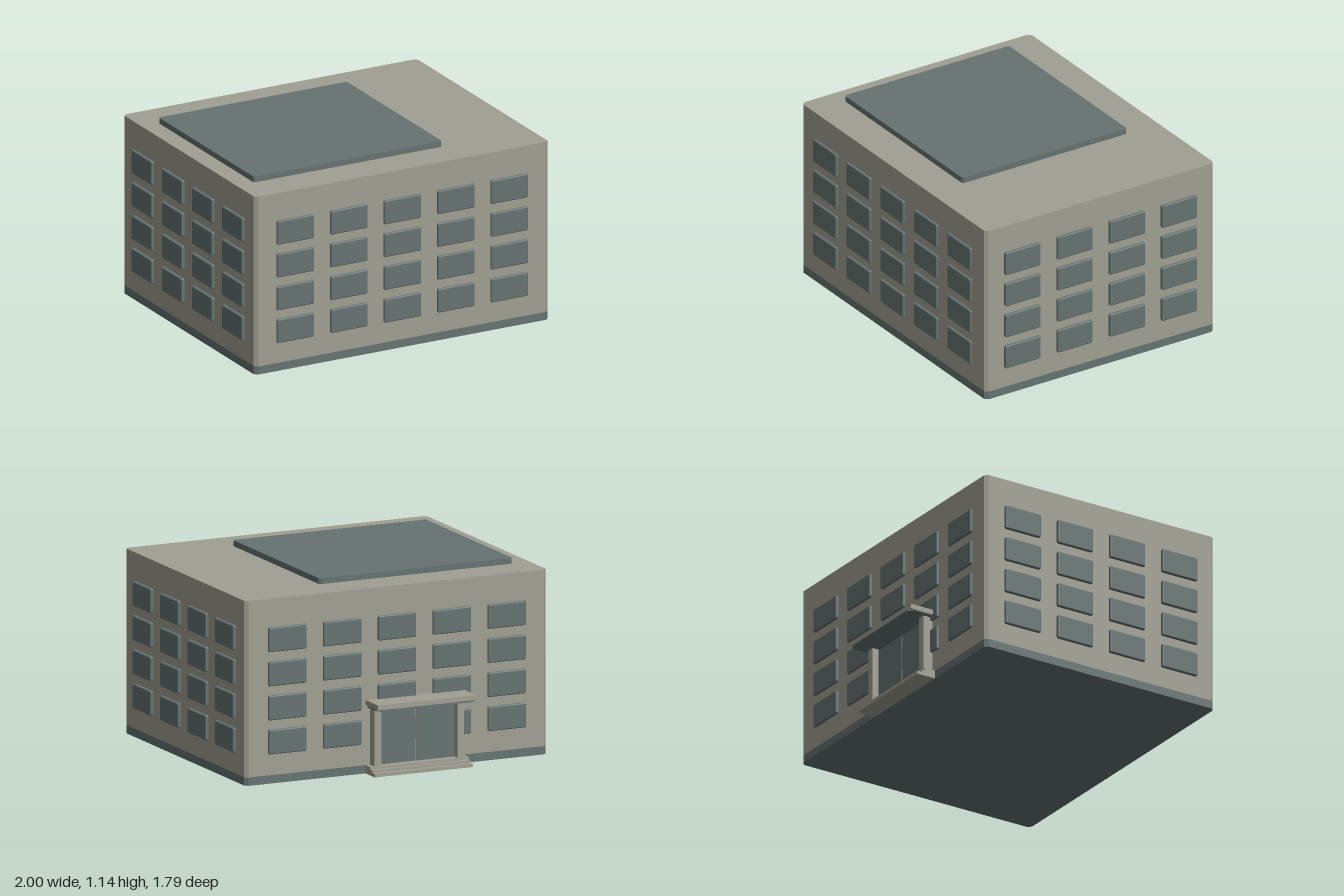
import * as THREE from 'three';
import { RoundedBoxGeometry } from 'three/addons/geometries/RoundedBoxGeometry.js';

export function createModel() {
  const root = new THREE.Group();
  root.name = 'officeBuilding';
  const concrete = new THREE.MeshStandardMaterial({ color: 0xa09f92 });
  concrete.name = 'concrete';
  const slate = new THREE.MeshStandardMaterial({ color: 0x657371 });
  slate.name = 'slate';

  const add = (name, geometry, material, parent = root) => {
    const mesh = new THREE.Mesh(geometry, material);
    mesh.name = name;
    parent.add(mesh);
    return mesh;
  };

  // Upright block with chamfered vertical edges
  const block = (x0, x1, z0, z1, y0, y1, c) => {
    const pts = [[x0 + c, z0], [x0, z0 + c], [x0, z1 - c], [x0 + c, z1],
      [x1 - c, z1], [x1, z1 - c], [x1, z0 + c], [x1 - c, z0]];
    const shape = new THREE.Shape(pts.map(([x, z]) => new THREE.Vector2(x, -z)));
    const g = new THREE.ExtrudeGeometry(shape, { depth: y1 - y0, bevelEnabled: false });
    return g.rotateX(-Math.PI / 2).translate(0, y0, 0);
  };

  // Plain box given by its limits
  const box = (x0, x1, y0, y1, z0, z1) =>
    new THREE.BoxGeometry(x1 - x0, y1 - y0, z1 - z0)
      .translate((x0 + x1) / 2, (y0 + y1) / 2, (z0 + z1) / 2);

  // Main masses
  const X = 0.982, ZB = -0.722, ZF = 0.88;
  add('base', block(-X, X, ZB, ZF, 0, 0.05, 0.02), slate);
  add('walls', block(-X, X, ZB, ZF, 0.05, 1.108, 0.02), concrete);
  add('roofPanel', block(-0.867, 0.391, -0.498, 0.654, 1.108, 1.143, 0.012), slate);

  // Windows: four storeys on each side, with softly rounded edges
  const windows = new THREE.Group();
  windows.name = 'windows';
  root.add(windows);
  const pane = new RoundedBoxGeometry(0.246, 0.148, 0.036, 2, 0.008);
  const addWindow = (name, x, y, z, turn) => {
    const w = add(name, pane, slate, windows);
    w.position.set(x, y, z);
    w.rotation.y = turn;
  };
  for (let row = 0; row < 4; row++) {
    const y = 0.25 + row * 0.2045;
    for (let i = 0; i < 5; i++) {
      const x = -0.717 + i * 0.3575;
      addWindow('frontWindow', x, y, ZF - 0.003, 0);
      addWindow('backWindow', x, y, ZB + 0.003, Math.PI);
    }
    for (let i = 0; i < 4; i++) {
      const z = -0.468 + i * 0.3655;
      addWindow('leftWindow', X, y, z, Math.PI / 2);
      addWindow('rightWindow', -X, y, z, -Math.PI / 2);
    }
  }

  // Rear entrance, built about its own centre line
  const entrance = new THREE.Group();
  entrance.name = 'entrance';
  entrance.position.x = -0.12;
  root.add(entrance);

  // Steps
  [[0, 0.02, -0.845], [0.02, 0.035, -0.813], [0.035, 0.05, -0.79]].forEach(([y0, y1, z]) =>
    add('step', box(-0.32, 0.32, y0, y1, z, ZB), concrete, entrance));

  // Canopy with a slate soffit
  add('canopy', box(-0.32, 0.32, 0.411, 0.44, -0.89, ZB), concrete, entrance);
  add('canopySoffit', block(-0.323, 0.323, -0.895, ZB, 0.402, 0.411, 0.03), slate, entrance);

  // Columns and glazed doors
  add('doorFrame', box(-0.26, 0.26, 0.05, 0.402, -0.736, ZB), concrete, entrance);
  for (const s of [-1, 1]) {
    add('column', box(-0.022, 0.022, 0.05, 0.402, -0.785, ZB), concrete, entrance)
      .position.x = s * 0.27;
    add('glassDoor', box(-0.121, 0.121, 0.05, 0.398, -0.743, ZB), slate, entrance)
      .position.x = s * 0.127;
  }
  return root;
}
